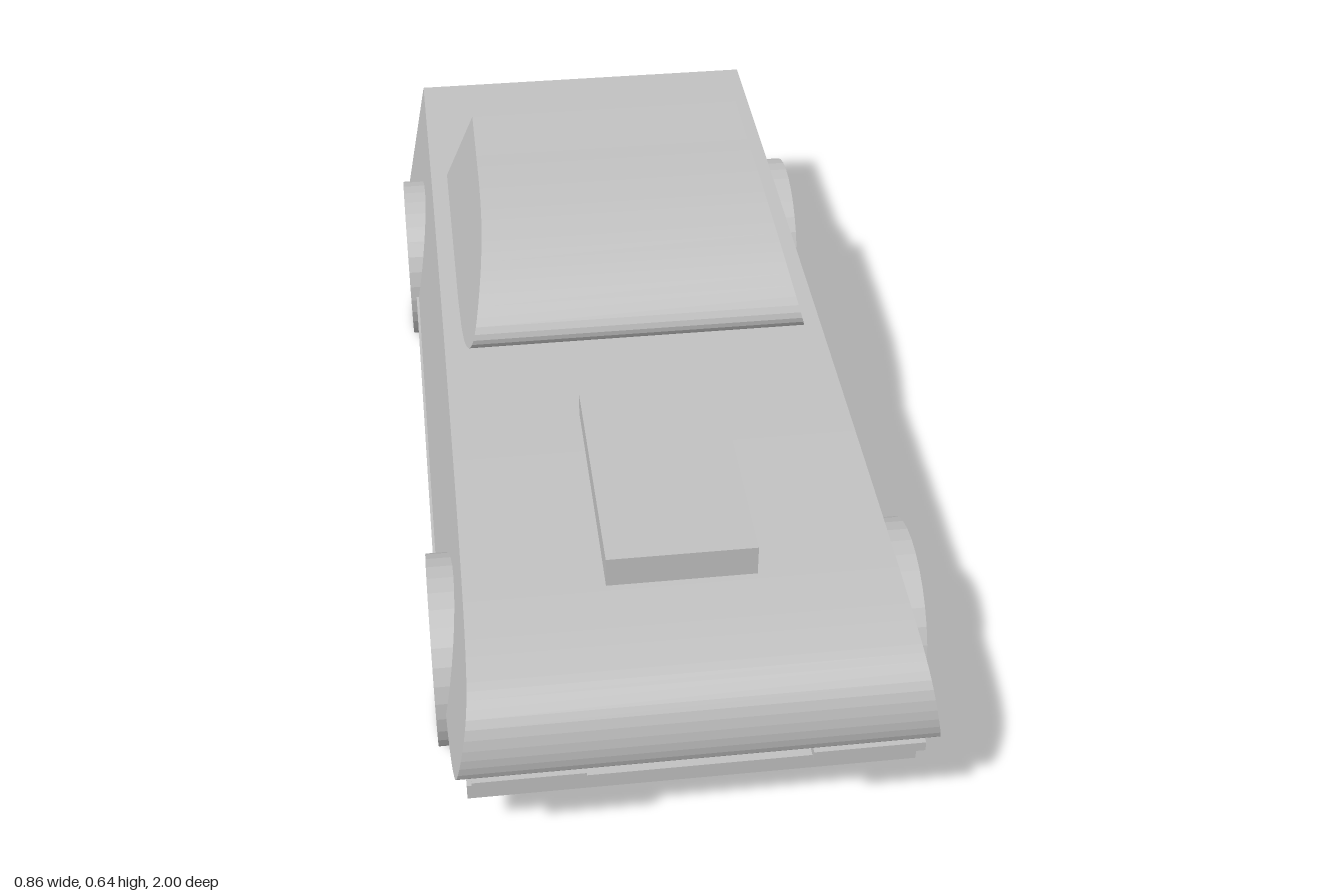
import * as THREE from 'three';

const grey = new THREE.MeshStandardMaterial({ name: 'grey', color: 0xc0c0c0, flatShading: true });

// Extrude a side profile of [z, y] points across x, with half width depending on height
function taperedPrism(points, halfWidth) {
  const shape = new THREE.Shape(points.map(([z, y]) => new THREE.Vector2(z, y)));
  const geo = new THREE.ExtrudeGeometry(shape, { depth: 2, bevelEnabled: false, steps: 1 });
  geo.translate(0, 0, -1);
  geo.rotateY(-Math.PI / 2);
  const pos = geo.attributes.position;
  for (let i = 0; i < pos.count; i++) pos.setX(i, pos.getX(i) * halfWidth(pos.getY(i)));
  geo.computeVertexNormals();
  return geo;
}

// Dense points along a smooth curve through [z, y] points
function smooth(points, count) {
  return new THREE.SplineCurve(points.map(([z, y]) => new THREE.Vector2(z, y)))
    .getPoints(count).map((p) => [p.x, p.y]);
}

// Box given by its limits on each axis
function boxBetween([x0, x1], [y0, y1], [z0, z1]) {
  return new THREE.BoxGeometry(x1 - x0, y1 - y0, z1 - z0)
    .translate((x0 + x1) / 2, (y0 + y1) / 2, (z0 + z1) / 2);
}

export function createModel() {
  const car = new THREE.Group();
  car.name = 'car';
  const add = (name, geometry) => {
    const mesh = new THREE.Mesh(geometry, grey);
    mesh.name = name;
    car.add(mesh);
    return mesh;
  };

  // Lower body with rounded nose, sides leaning inwards
  const nose = smooth([
    [0.6, 0.165], [0.8, 0.183], [0.9, 0.2], [0.96, 0.218], [0.992, 0.24], [1, 0.29],
    [0.985, 0.345], [0.95, 0.377], [0.9, 0.393], [0.8, 0.407], [0.65, 0.416], [0.4, 0.423], [0, 0.428],
  ], 36);
  add('body', taperedPrism(
    [...nose, [-0.5, 0.428], [-0.975, 0.42], [-0.99, 0.155], [-0.6, 0.155]],
    (y) => 0.415 - (y - 0.18) * 0.184,
  ));

  // Cabin with curved windscreen and sloping rear window
  const screen = smooth([
    [0, 0.433], [0.07, 0.445], [0.125, 0.47], [0.143, 0.5], [0.12, 0.535], [0.06, 0.576],
    [0, 0.603], [-0.08, 0.624], [-0.18, 0.634], [-0.3, 0.637], [-0.45, 0.64],
  ], 30);
  add('cabin', taperedPrism(
    [...screen, [-0.57, 0.428], [-0.1, 0.428]],
    (y) => 0.335 - (y - 0.428) * 0.274,
  ));

  // Floor pan, bonnet scoop and trim
  add('floorPan', boxBetween([-0.42, 0.42], [0.13, 0.18], [-0.6, 0.6]));
  add('bonnetScoop', boxBetween([-0.13, 0.13], [0.41, 0.47], [0.29, 0.745]));
  add('frontBumper', boxBetween([-0.388, 0.388], [0.112, 0.143], [0.875, 0.922]));
  add('rearTrim', boxBetween([-0.375, 0.375], [0.304, 0.326], [-1, -0.97]));

  // Headlights and wheels on both sides
  for (const side of [1, -1]) {
    const sideName = side > 0 ? 'left' : 'right';
    const inner = side > 0 ? 0.19 : -0.38;
    add(sideName + 'Headlight', boxBetween([inner, inner + 0.19], [0.211, 0.23], [0.94, 0.994]));
    for (const [end, z] of [['Front', 0.62], ['Rear', -0.64]]) {
      const wheel = add(sideName + end + 'Wheel', new THREE.CylinderGeometry(0.172, 0.172, 0.132, 32).rotateZ(Math.PI / 2));
      wheel.position.set(side * 0.366, 0.172, z);
    }
  }
  return car;
}
